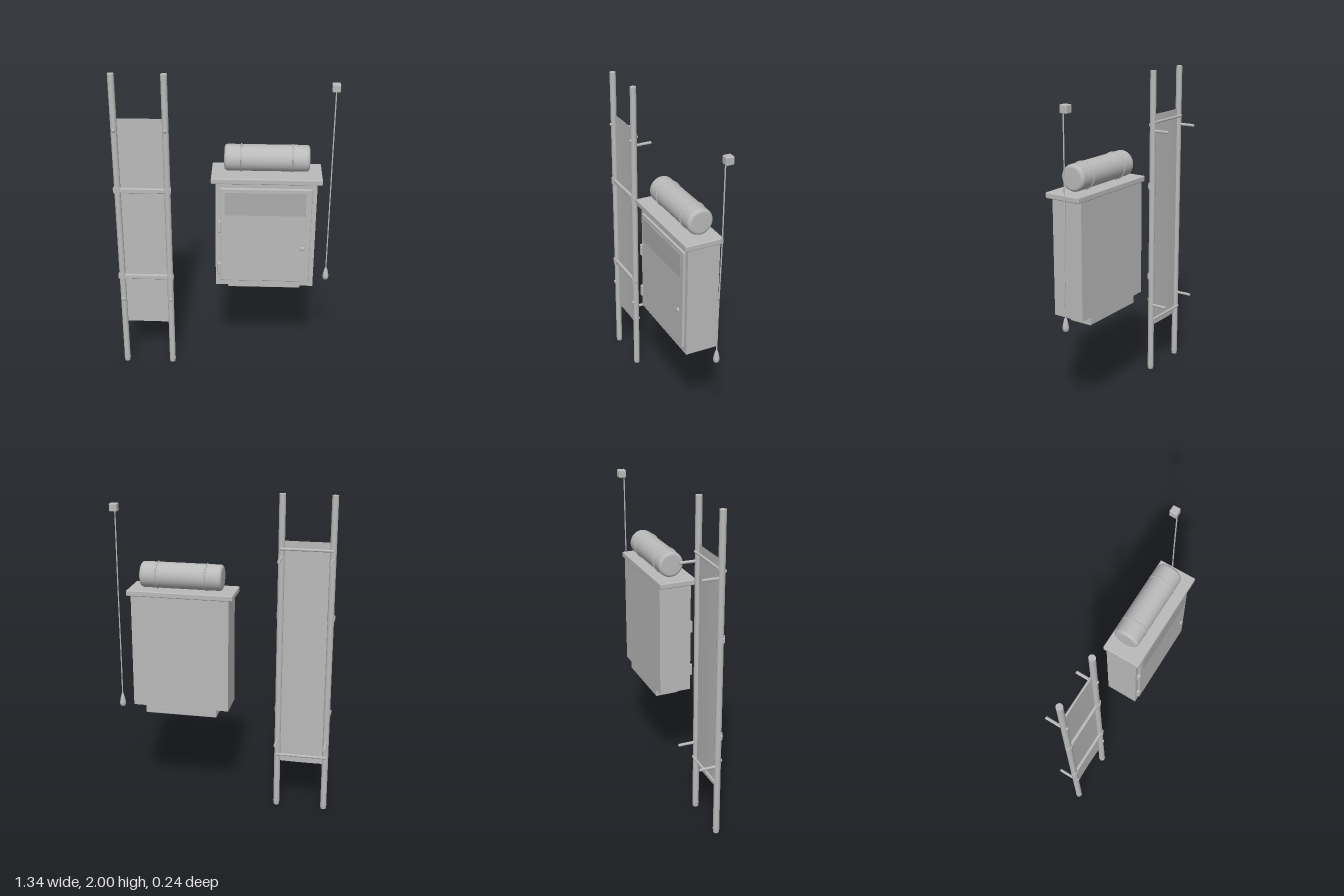
import * as THREE from 'three';
import { RoundedBoxGeometry } from 'three/addons/geometries/RoundedBoxGeometry.js';

export function createModel() {
  const model = new THREE.Group();
  const grey = new THREE.MeshStandardMaterial({ color: 0xbababa, side: THREE.DoubleSide });
  grey.name = 'grey';
  const panelGrey = new THREE.MeshStandardMaterial({ color: 0xacacac });
  panelGrey.name = 'panel grey';

  const add = (parent, name, geo, x = 0, y = 0, z = 0, mat = grey) => {
    const m = new THREE.Mesh(geo, mat);
    m.name = name;
    m.position.set(x, y, z);
    parent.add(m);
    return m;
  };
  // box given by its limits, optionally with rounded edges
  const block = (parent, name, [x0, x1], [y0, y1], [z0, z1], r = 0, mat = grey) => {
    const s = [x1 - x0, y1 - y0, z1 - z0];
    const geo = r ? new RoundedBoxGeometry(...s, 3, r) : new THREE.BoxGeometry(...s);
    return add(parent, name, geo, (x0 + x1) / 2, (y0 + y1) / 2, (z0 + z1) / 2, mat);
  };
  const group = (name) => {
    const g = new THREE.Group();
    g.name = name;
    model.add(g);
    return g;
  };
  const tube = (pts, r, n = 24) => new THREE.TubeGeometry(
    new THREE.CatmullRomCurve3(pts.map((p) => new THREE.Vector3(...p))), n, r, 10);

  // Stretcher hung upright on wall hooks
  const stretcher = group('stretcher');
  const poles = [-0.648, -0.345], mid = -0.4965;
  for (const x of poles) {
    add(stretcher, 'pole', new THREE.CylinderGeometry(0.0195, 0.0195, 1.98, 24), x, 1.01, 0.003);
    add(stretcher, 'poleFoot', new THREE.CylinderGeometry(0.0205, 0.018, 0.028, 24), x, 0.014, 0.003);
    for (const y of [1.625, 0.46]) {
      add(stretcher, 'wallHook', tube([[x, y, -0.113], [x, y, -0.06], [x, y, -0.02],
        [x, y + 0.012, 0.008], [x, y + 0.036, 0.022]], 0.009));
      add(stretcher, 'hookTip', new THREE.SphereGeometry(0.01, 16, 12), x, y + 0.035, 0.022);
      add(stretcher, 'hookEnd', new THREE.CircleGeometry(0.009, 10), x, y, -0.113).rotation.y = Math.PI;
    }
    for (const y of [1.267, 0.66])
      add(stretcher, 'strapClamp', new THREE.CylinderGeometry(0.022, 0.022, 0.042, 24), x, y, 0.006);
  }
  // canvas with a slight bow between the poles
  const canvas = new THREE.PlaneGeometry(0.295, 1.417, 12, 1);
  const p = canvas.attributes.position;
  for (let i = 0; i < p.count; i++) p.setZ(i, -0.004 * (1 - (p.getX(i) / 0.148) ** 2));
  canvas.computeVertexNormals();
  add(stretcher, 'canvas', canvas, mid, 1.0185, 0.002);
  for (const y of [1.267, 0.66])
    block(stretcher, 'strap', [-0.674, -0.321], [y - 0.016, y + 0.016], [0.003, 0.022], 0.006);
  for (const y of [1.68, 0.36])
    add(stretcher, 'spreaderBar', new THREE.CylinderGeometry(0.008, 0.008, 0.31, 12), mid, y, -0.016)
      .rotation.z = Math.PI / 2;

  // Wall cabinet
  const cabinet = group('cabinet');
  block(cabinet, 'body', [-0.05, 0.552], [0.665, 1.373], [-0.112, 0.09]);
  block(cabinet, 'lid', [-0.076, 0.58], [1.37, 1.405], [-0.118, 0.118], 0.006);
  block(cabinet, 'door', [-0.02, 0.525], [0.7, 1.335], [0.085, 0.103], 0.006);
  block(cabinet, 'doorPanel', [0.005, 0.49], [1.16, 1.31], [0.1, 0.107], 0, panelGrey);
  block(cabinet, 'base', [0.025, 0.475], [0.615, 0.667], [-0.11, 0.038], 0.005);
  for (const y of [1.08, 0.79]) block(cabinet, 'hinge', [-0.037, -0.017], [y - 0.037, y + 0.037], [0.086, 0.11], 0.004);
  const stem = add(cabinet, 'knobStem', new THREE.CylinderGeometry(0.008, 0.008, 0.016, 16), 0.477, 0.94, 0.104);
  stem.rotation.x = Math.PI / 2;
  const knob = add(cabinet, 'knob', new THREE.SphereGeometry(0.015, 20, 14), 0.477, 0.94, 0.11);
  knob.scale.z = 0.55;

  // Rolled blanket with two straps
  const roll = group('blanketRoll');
  const R = 0.079, h = 0.2525, c = 0.02;
  const profile = [[0, -h], [R - c, -h]];
  for (let i = 1; i <= 5; i++) {
    const a = (i / 5) * Math.PI / 2;
    profile.push([R - c + c * Math.sin(a), -h + c - c * Math.cos(a)]);
  }
  const full = profile.concat(profile.map(([x, y]) => [x, -y]).reverse());
  add(roll, 'blanket', new THREE.LatheGeometry(full.map((q) => new THREE.Vector2(...q)), 40), 0.2525, 1.487, -0.014)
    .rotation.z = Math.PI / 2;
  for (const x of [0.1, 0.403])
    add(roll, 'rollStrap', new THREE.TorusGeometry(R, 0.005, 8, 40), x, 1.487, -0.014).rotation.y = Math.PI / 2;

  // Pull cord
  const pull = group('pullCord');
  block(pull, 'cordBox', [0.619, 0.667], [1.878, 1.926], [-0.112, -0.064], 0.006);
  add(pull, 'cord', tube([[0.643, 1.89, -0.072], [0.643, 1.4, -0.07], [0.643, 1, -0.063], [0.643, 0.7, -0.061]], 0.004, 32));
  const drop = [[0, 0.625], [0.013, 0.627], [0.019, 0.64], [0.019, 0.655], [0.013, 0.685], [0.007, 0.707], [0, 0.712]];
  add(pull, 'pullHandle', new THREE.LatheGeometry(drop.map((q) => new THREE.Vector2(...q)), 20), 0.643, 0, -0.061);

  return model;
}
